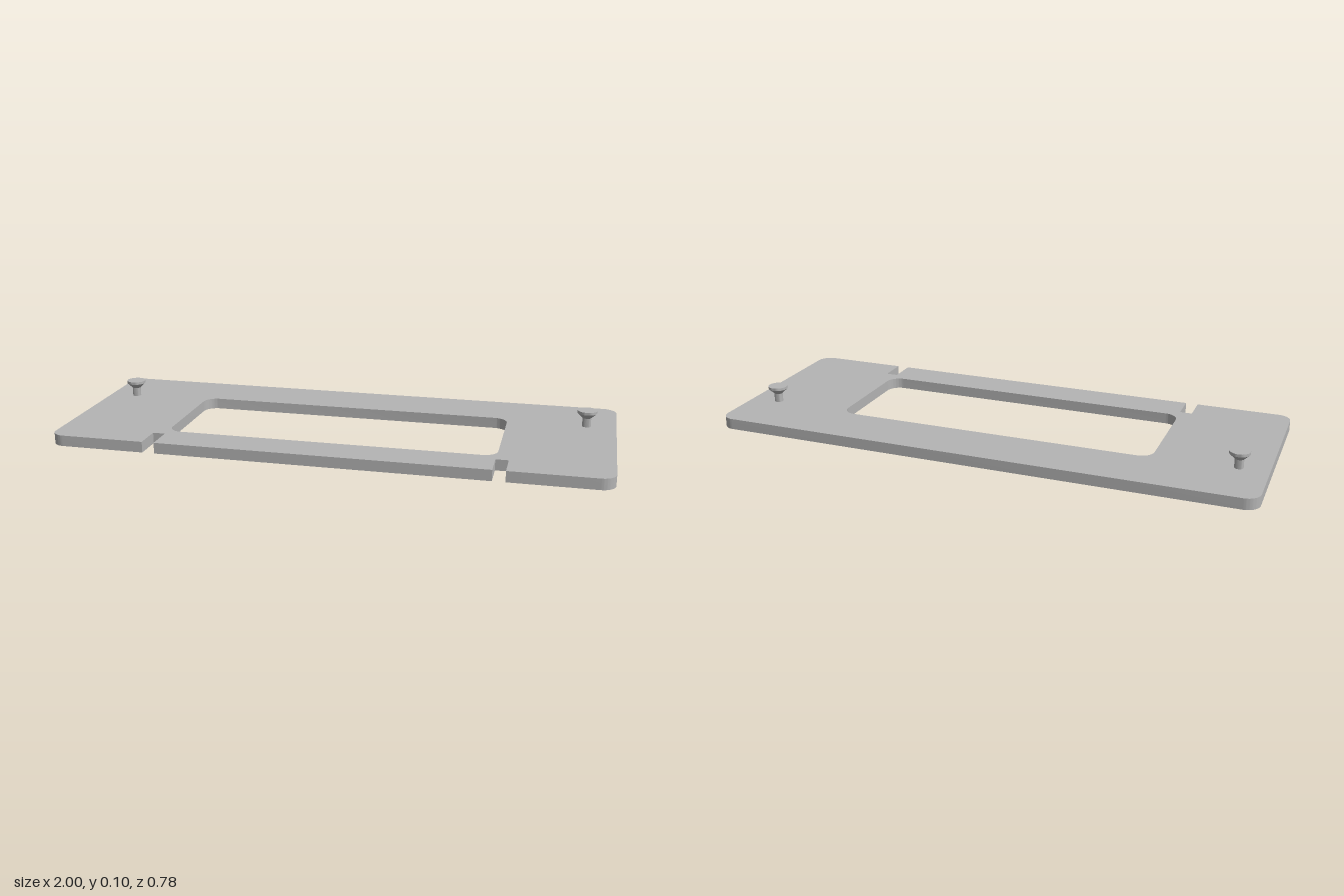
import * as THREE from 'three';
import { toCreasedNormals } from 'three/addons/utils/BufferGeometryUtils.js';

const THICKNESS = 0.04;

// Shape coordinates are (x, -z); the extrusion is later laid flat.
function roundedWindow(x0, y0, x1, y1, r) {
  const p = new THREE.Path();
  p.moveTo(x0 + r, y0);
  p.lineTo(x1 - r, y0);
  p.absarc(x1 - r, y0 + r, r, -Math.PI / 2, 0, false);
  p.lineTo(x1, y1 - r);
  p.absarc(x1 - r, y1 - r, r, 0, Math.PI / 2, false);
  p.lineTo(x0 + r, y1);
  p.absarc(x0 + r, y1 - r, r, Math.PI / 2, Math.PI, false);
  p.lineTo(x0, y0 + r);
  p.absarc(x0 + r, y0 + r, r, Math.PI, Math.PI * 1.5, false);
  return p;
}

function plateGeometry() {
  const w = 1, d = 0.389, r = 0.05;
  const slotIn = 0.598, slotOut = 0.643, slotEnd = -0.284;
  const s = new THREE.Shape();
  // Front edge with two open slots
  s.moveTo(-w + r, -d);
  for (const [a, b] of [[-slotOut, -slotIn], [slotIn, slotOut]]) {
    s.lineTo(a, -d);
    s.lineTo(a, slotEnd);
    s.lineTo(b, slotEnd);
    s.lineTo(b, -d);
  }
  // Remaining edges with rounded corners
  s.lineTo(w - r, -d);
  s.absarc(w - r, -d + r, r, -Math.PI / 2, 0, false);
  s.lineTo(w, d - r);
  s.absarc(w - r, d - r, r, 0, Math.PI / 2, false);
  s.lineTo(-w + r, d);
  s.absarc(-w + r, d - r, r, Math.PI / 2, Math.PI, false);
  s.lineTo(-w, -d + r);
  s.absarc(-w + r, -d + r, r, Math.PI, Math.PI * 1.5, false);
  s.holes.push(roundedWindow(-0.6, -0.25, 0.6, 0.178, 0.05));

  const g = new THREE.ExtrudeGeometry(s, { depth: THICKNESS, bevelEnabled: false, curveSegments: 10 });
  g.rotateX(-Math.PI / 2);
  return toCreasedNormals(g, 0.6);
}

// Stem, flared underside and flat rim of a mounting stud
function studGeometry() {
  const profile = [[0, 0.03], [0.016, 0.03], [0.016, 0.073], [0.036, 0.092], [0.036, 0.102], [0, 0.102]];
  const g = new THREE.LatheGeometry(profile.map(([x, y]) => new THREE.Vector2(x, y)), 32);
  return toCreasedNormals(g, 0.6);
}

export function createModel() {
  const model = new THREE.Group();
  model.name = 'mountingFrame';
  const grey = new THREE.MeshStandardMaterial({ color: 0xb4b4b4 });
  grey.name = 'grey';

  const plate = new THREE.Mesh(plateGeometry(), grey);
  plate.name = 'plate';
  model.add(plate);

  const studGeo = studGeometry();
  for (const [name, x] of [['leftStud', 0.891], ['rightStud', -0.895]]) {
    const stud = new THREE.Mesh(studGeo, grey);
    stud.name = name;
    stud.position.set(x, 0, -0.155);
    model.add(stud);
  }
  return model;
}
